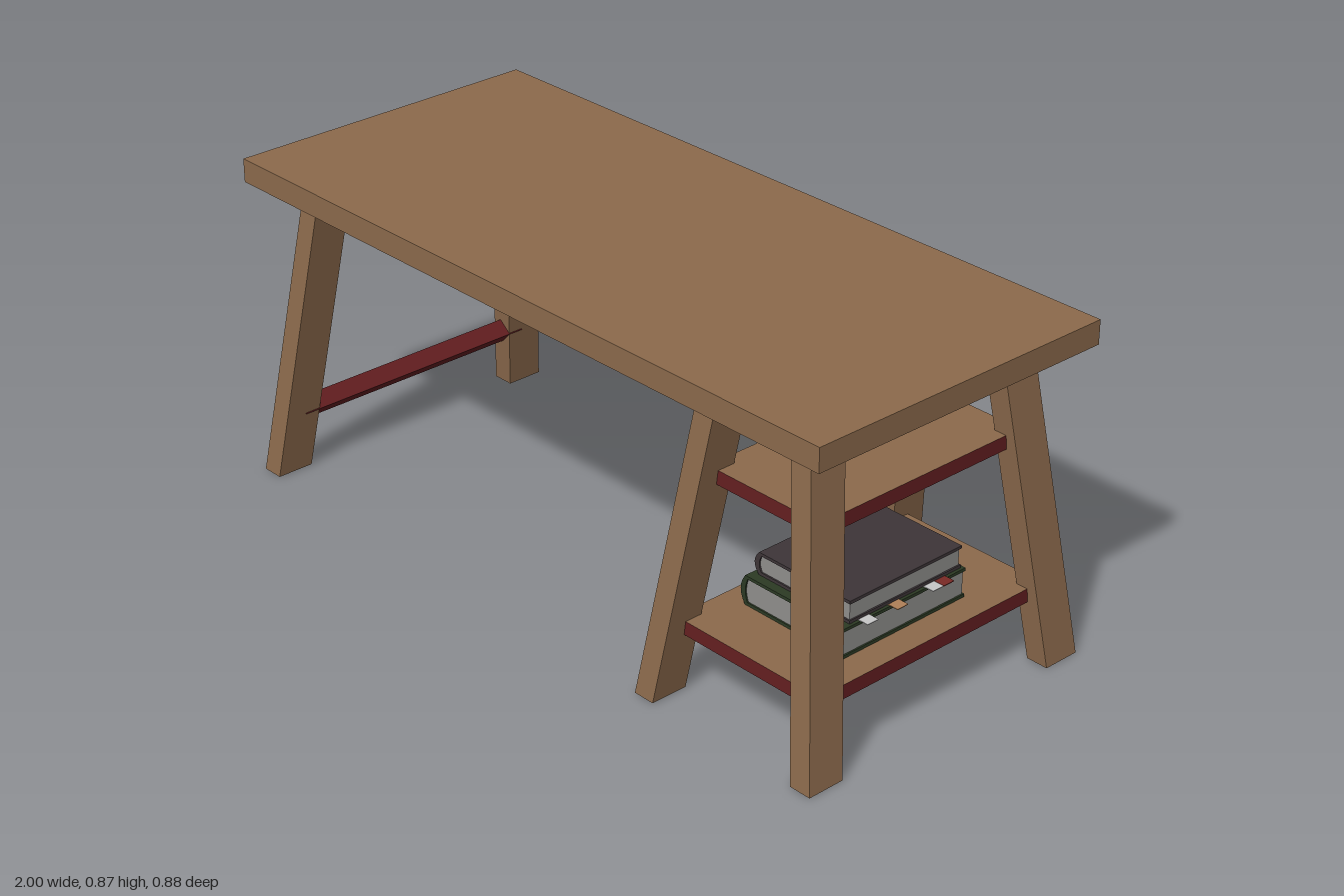
import * as THREE from 'three';

const mat = (name, color) => {
  const m = new THREE.MeshStandardMaterial({ color });
  m.name = name;
  return m;
};

export function createModel() {
  const wood = mat('wood', 0x8c6a4c);
  const red = mat('dark red', 0x651f21);
  const green = mat('book green', 0x2c3a24);
  const plum = mat('book plum', 0x3d3538);
  const paper = mat('paper', 0x908f8d);
  const tabRed = mat('tab red', 0x7a2a26);
  const tabTan = mat('tab tan', 0xb08058);
  const tabWhite = mat('tab white', 0xc8c8c8);

  const model = new THREE.Group();
  model.name = 'desk';
  const add = (name, geometry, material, x = 0, y = 0, z = 0, parent = model) => {
    const mesh = new THREE.Mesh(geometry, material);
    mesh.name = name;
    mesh.position.set(x, y, z);
    parent.add(mesh);
    return mesh;
  };
  const box = (w, h, d) => new THREE.BoxGeometry(w, h, d);

  // Table top
  add('tableTop', box(2, 0.062, 0.876), wood, 0, 0.836, 0);

  // Splayed legs: boxes sheared between floor and top, ends kept level
  const H = 0.806;
  const leg = (name, x, lean, side) => {
    const g = box(0.06, H, 0.102).translate(0, H / 2, 0);
    const p = g.attributes.position;
    for (let i = 0; i < p.count; i++) {
      const t = p.getY(i) / H;
      p.setX(i, p.getX(i) + lean * t);
      p.setZ(i, p.getZ(i) - side * 0.09 * t);
    }
    g.computeVertexNormals();
    add(name, g, wood, x, 0, side * 0.387);
  };
  for (const side of [1, -1]) {
    const end = side > 0 ? 'Front' : 'Back';
    leg('rightLeg' + end, -0.96, 0.112, side);
    leg('innerLeftLeg' + end, 0.465, 0.11, side);
    leg('outerLeftLeg' + end, 0.97, -0.112, side);
  }

  // Diamond-section stretcher between the right legs
  add('stretcher', new THREE.CylinderGeometry(0.033, 0.033, 0.72, 4).toNonIndexed()
    .rotateX(Math.PI / 2), red, -0.938, 0.166, 0).geometry.computeVertexNormals();

  // Shelves: wooden faces with red edges
  const shelf = (name, x0, x1, y0, y1, z) =>
    add(name, box(x1 - x0, y1 - y0, 2 * z), [red, red, wood, wood, red, red],
      (x0 + x1) / 2, (y0 + y1) / 2, 0);
  shelf('lowerShelf', 0.49, 0.945, 0.162, 0.199, 0.362);
  shelf('upperShelf', 0.543, 0.892, 0.557, 0.594, 0.318);

  // Books: a wrapped cover with a rounded spine around a page block
  const book = (name, x0, x1, y0, y1, z0, z1, cover) => {
    const group = new THREE.Group();
    group.name = name;
    model.add(group);
    const h = y1 - y0, t = 0.008, b = 0.014, w = x1 - x0;
    const s = new THREE.Shape();
    s.moveTo(w, 0);
    s.lineTo(w, t);
    s.lineTo(b + t, t);
    s.quadraticCurveTo(t, h / 2, b + t, h - t);
    s.lineTo(w, h - t);
    s.lineTo(w, h);
    s.lineTo(b, h);
    s.quadraticCurveTo(-b, h / 2, b, 0);
    s.closePath();
    add('cover', new THREE.ExtrudeGeometry(s, { depth: z1 - z0, bevelEnabled: false, curveSegments: 6 }),
      cover, x0, y0, z0, group);
    add('pages', box(w - b - 0.004, h - 2 * t, z1 - z0 - 0.008), paper,
      x0 + (w + b - 0.004) / 2, y0 + h / 2, (z0 + z1) / 2, group);
  };
  book('lowerBook', 0.545, 0.872, 0.2, 0.277, -0.18, 0.213, green);
  book('upperBook', 0.565, 0.866, 0.2785, 0.337, -0.17, 0.19, plum);

  // Paper tabs sticking out between the books
  [[0.145, tabWhite], [0.05, tabTan], [-0.065, tabWhite], [-0.1, tabRed]].forEach(([z, m], i) =>
    add('pageTab' + (i + 1), box(0.06, 0.002, 0.034), m, 0.865, 0.278, z));

  return model;
}
